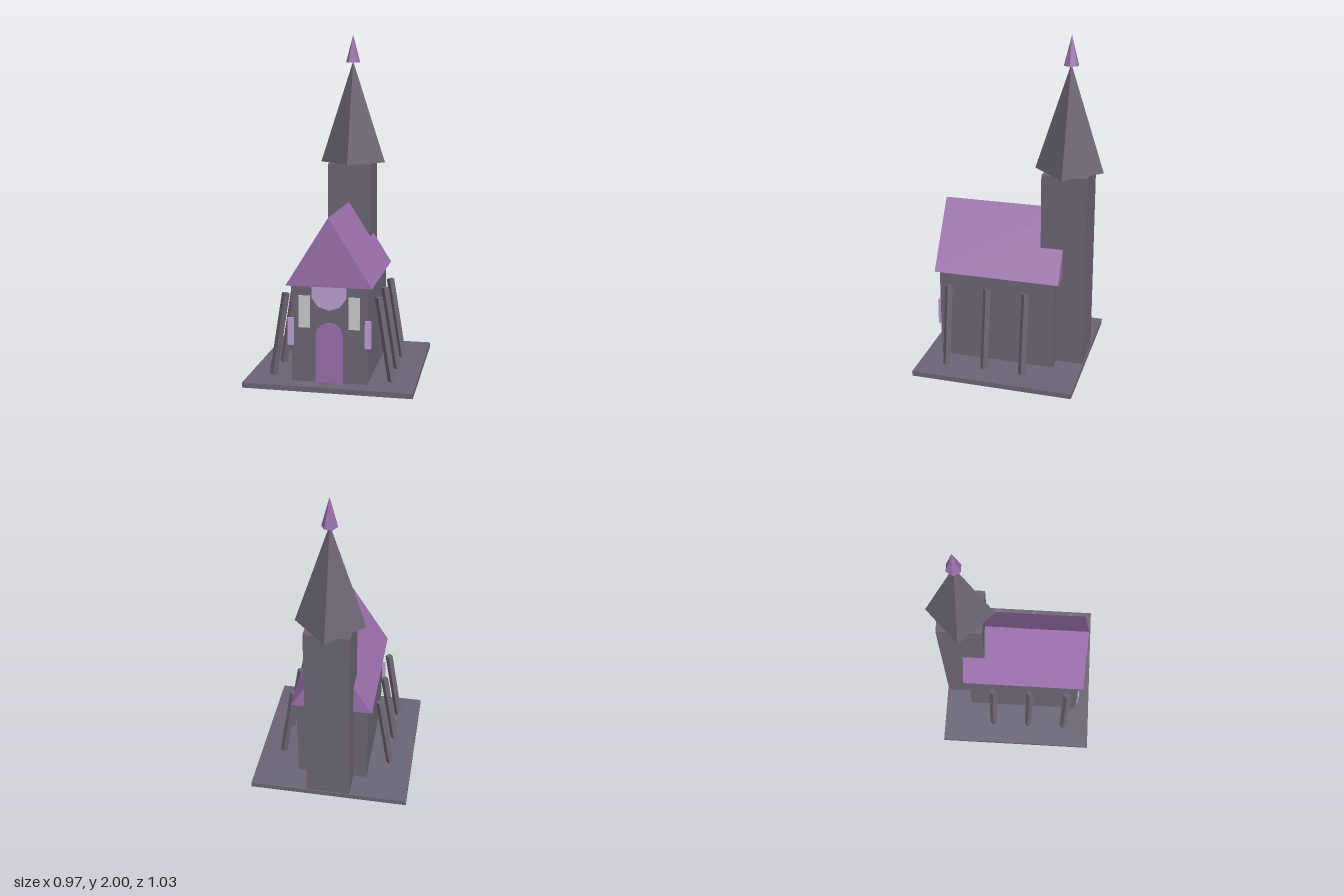
import * as THREE from 'three';

const stone = new THREE.MeshStandardMaterial({ color: 0x6b6573 });
const purple = new THREE.MeshStandardMaterial({ color: 0x9a6fac });
const lavender = new THREE.MeshStandardMaterial({ color: 0xb69fce });
const paleGlass = new THREE.MeshStandardMaterial({ color: 0xcacaca });
stone.name = 'stone';
purple.name = 'purple';
lavender.name = 'lavender';
paleGlass.name = 'paleGlass';

const TOWER_Z = -0.317;
const WALL_Z = 0.42;

export function createModel() {
  const model = new THREE.Group();
  model.name = 'chapel';

  // Adds a faceted mesh
  function add(name, geometry, material, x = 0, y = 0, z = 0) {
    const flat = geometry.index ? geometry.toNonIndexed() : geometry;
    flat.computeVertexNormals();
    const mesh = new THREE.Mesh(flat, material);
    mesh.name = name;
    mesh.position.set(x, y, z);
    model.add(mesh);
    return mesh;
  }

  // Box given by its lower and upper corners
  function box(name, material, [x0, y0, z0], [x1, y1, z1]) {
    return add(name, new THREE.BoxGeometry(x1 - x0, y1 - y0, z1 - z0), material,
      (x0 + x1) / 2, (y0 + y1) / 2, (z0 + z1) / 2);
  }

  const extrude = (shape, depth) =>
    new THREE.ExtrudeGeometry(shape, { depth, bevelEnabled: false, curveSegments: 6 });

  // Ground slab, nave and tower
  box('baseSlab', stone, [-0.486, 0, -0.457], [0.486, 0.03, 0.515]);
  box('nave', stone, [-0.218, 0.03, -0.287], [0.218, 0.6, WALL_Z]);
  box('tower', stone, [-0.133, 0.03, -0.45], [0.133, 1.215, -0.183]);

  // Solid gabled roof
  const gable = new THREE.Shape();
  gable.moveTo(-0.246, 0.587);
  gable.lineTo(0.246, 0.587);
  gable.lineTo(0, 0.98);
  gable.closePath();
  add('roof', extrude(gable, 0.76), purple, 0, 0, -0.317);

  // Spire, corners turned to the axes, with a six-sided tip
  add('spire', new THREE.ConeGeometry(0.203, 0.625, 4), stone, 0, 1.5275, TOWER_Z);
  const tip = add('spireTip', new THREE.ConeGeometry(0.045, 0.17, 6), purple, 0, 1.915, TOWER_Z);
  tip.rotation.y = Math.PI / 6;

  // Arched door
  const arch = new THREE.Shape();
  arch.moveTo(-0.078, 0.03);
  arch.lineTo(0.078, 0.03);
  arch.lineTo(0.078, 0.3);
  arch.absarc(0, 0.3, 0.078, 0, Math.PI, false);
  arch.closePath();
  add('door', extrude(arch, 0.009), purple, 0, 0, WALL_Z);

  // Round window tucked under the gable
  const rose = new THREE.CylinderGeometry(0.105, 0.105, 0.009, 10);
  rose.rotateX(Math.PI / 2);
  add('roundWindow', rose, lavender, 0, 0.555, WALL_Z + 0.0055);

  for (const side of [-1, 1]) {
    const label = side > 0 ? 'left' : 'right';

    // Front windows and corner plates
    add(label + 'FrontWindow', new THREE.BoxGeometry(0.065, 0.185, 0.006), paleGlass,
      side * 0.1425, 0.4375, WALL_Z + 0.002);
    add(label + 'CornerPlate', new THREE.BoxGeometry(0.036, 0.16, 0.009), lavender,
      side * 0.222, 0.32, WALL_Z + 0.004);

    // Leaning buttresses
    for (const z of [0.345, 0.108, -0.127]) {
      const post = add(label + 'Buttress', new THREE.CylinderGeometry(0.023, 0.023, 0.494, 4),
        stone, side * 0.308, 0.277, z);
      post.rotation.z = side * 0.159;
    }
  }

  return model;
}
